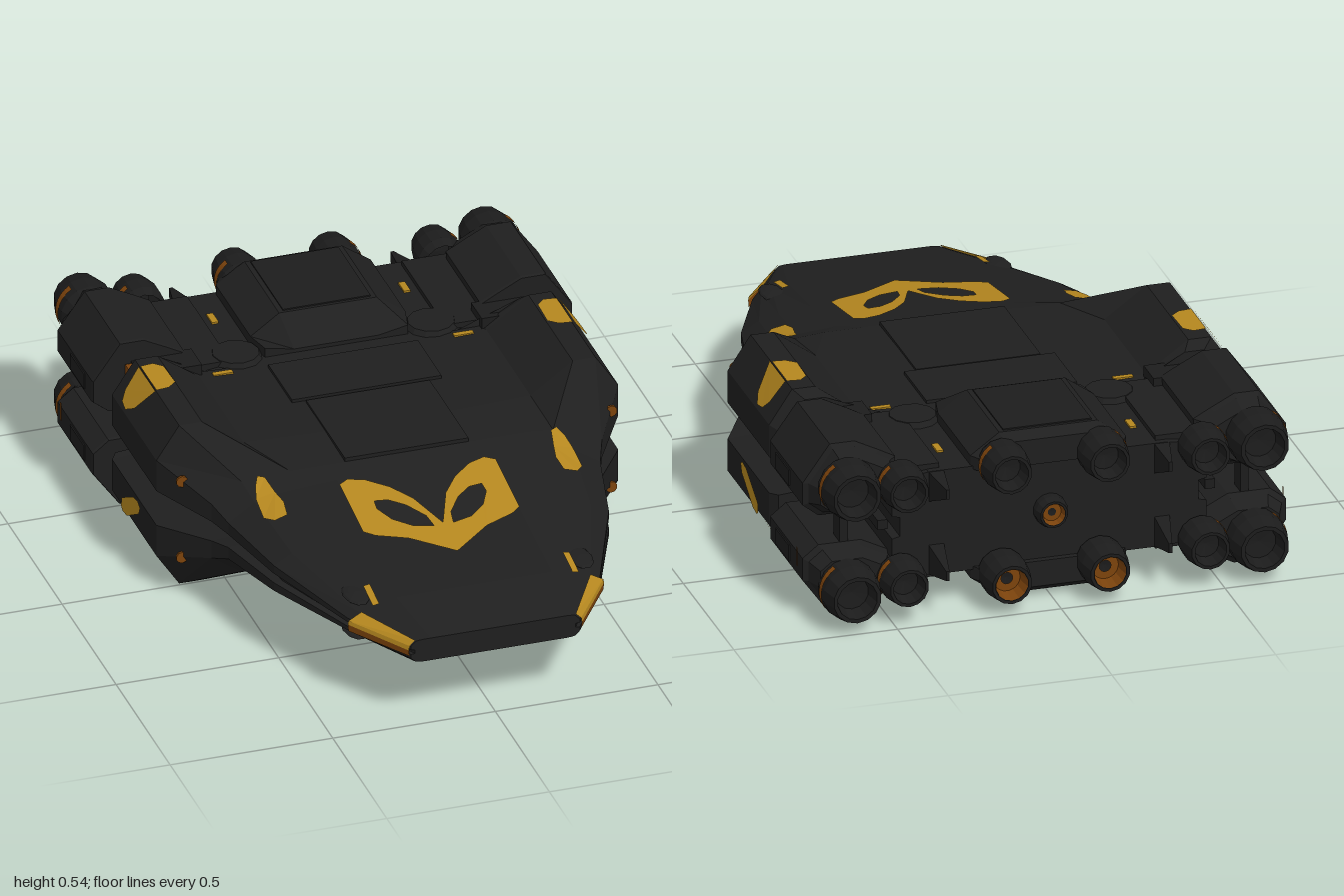
import * as THREE from 'three';

const mat = (name, color, extra = {}) => Object.assign(new THREE.MeshStandardMaterial({ color, flatShading: true, ...extra }), { name });

// Hull section from its deck height, shoulder foot, two shoulder peaks and outer edge (heights from mid-plane)
function section(z, deck, foot, peakA, peakB, edge) {
  const [ex, eh] = edge, nx = Math.min(.51, ex * .95), nh = Math.min(.04, eh * .3);
  const centre = .265 - .05 * Math.max(0, z - .5);
  const lip = [(ex + nx) / 2, (eh * .36 + nh) / 2];
  return [z, centre, [[0, deck], [Math.min(.24, foot[0] - .02), deck], foot, peakA, peakB, edge, [ex, eh * .36], lip, [nx, nh]]];
}
const shoulder = z => section(z, .165, [.44, .172], [.57, .265], [.64, .265], [.71, .16]);
const core = z => section(z, .165, [.36, .165], [.4, .16], [.43, .15], [.48, .1]);
const HULL = [
  section(1, .037, [.22, .037], [.235, .036], [.245, .034], [.26, .02]),
  section(.8, .064, [.28, .06], [.33, .05], [.36, .04], [.388, .02]),
  section(.5, .1, [.3, .097], [.4, .088], [.46, .074], [.515, .042]),
  section(.25, .146, [.3, .142], [.42, .132], [.49, .115], [.572, .06]),
  section(.18, .16, [.36, .16], [.45, .152], [.51, .152], [.6, .09]),
  shoulder(0), shoulder(-.41),
  section(-.44, .165, [.43, .17], [.55, .24], [.61, .24], [.69, .15]),
  core(-.445), core(-.88),
];

// Upper hull height at x, z
function surf(x, z) {
  x = Math.abs(x);
  let s = 0;
  while (s < HULL.length - 2 && HULL[s + 1][0] > z) s++;
  const [za, ya, pa] = HULL[s], [zb, yb, pb] = HULL[s + 1];
  const t = (za - z) / (za - zb), mix = (a, b) => a + (b - a) * t;
  const p = pa.map((a, i) => [mix(a[0], pb[i][0]), mix(a[1], pb[i][1])]);
  let i = 0;
  while (i < 4 && p[i + 1][0] < x) i++;
  const k = Math.min(1, (x - p[i][0]) / (p[i + 1][0] - p[i][0]));
  return mix(ya, yb) + p[i][1] + (p[i + 1][1] - p[i][1]) * k;
}

// Skin closed rings [z, points], clockwise seen from the front, front to back; sx and sy mirror them
function loft(sections, sx = 1, sy = 1) {
  const rings = sections.map(([z, pts]) => {
    const r = pts.map(([x, y]) => [x * sx, sy > 0 ? y : .53 - y, z]);
    return sx * sy < 0 ? r.reverse() : r;
  });
  const n = rings[0].length, idx = [], last = (rings.length - 1) * n;
  for (let s = 0; s < rings.length - 1; s++) for (let j = 0; j < n; j++) {
    const a = s * n + j, b = s * n + (j + 1) % n;
    idx.push(a, b, a + n, b, b + n, a + n);
  }
  const cap = (ring, off, flip) => {
    const ccw = ring.map(p => new THREE.Vector2(p[0], p[1])).reverse();
    for (const f of THREE.ShapeUtils.triangulateShape(ccw, [])) {
      const [a, b, c] = f.map(i => off + n - 1 - i);
      idx.push(a, flip ? c : b, flip ? b : c);
    }
  };
  cap(rings[0], 0, false);
  cap(rings[rings.length - 1], last, true);
  const g = new THREE.BufferGeometry();
  g.setAttribute('position', new THREE.Float32BufferAttribute(rings.flat(2), 3));
  g.setIndex(idx);
  const flat = g.toNonIndexed();
  flat.computeVertexNormals();
  return flat;
}

export function createModel() {
  const root = new THREE.Group();
  root.name = 'spacecraft';
  const hullGrey = mat('hull charcoal', 0x1f1f1f);
  const panelGrey = mat('panel charcoal', 0x1c1c1c, { side: THREE.DoubleSide });
  const yellow = mat('yellow paint', 0xb5871f, { side: THREE.DoubleSide });
  const rust = mat('rust orange', 0x7c430c, { side: THREE.DoubleSide });
  const add = (name, geo, m, x = 0, y = 0, z = 0) => {
    const mesh = new THREE.Mesh(geo, m);
    mesh.name = name;
    mesh.position.set(x, y, z);
    root.add(mesh);
    return mesh;
  };
  // Flat painted polygon on both sides of the craft
  const patch = (name, pts, m) => [1, -1].forEach(s => {
    const g = new THREE.BufferGeometry(), tri = [];
    for (let i = 1; i < pts.length - 1; i++) tri.push(pts[0], pts[i], pts[i + 1]);
    g.setAttribute('position', new THREE.Float32BufferAttribute(tri.flatMap(([x, y, z]) => [x * s, y, z]), 3));
    g.computeVertexNormals();
    add(name, g, m);
  });
  const onTop = (name, pts, m, lift = .005) => patch(name, pts.map(([x, z]) => [x, surf(x, z) + lift, z]), m);

  // Main hull with upper and lower shoulders
  const mirrored = pts => pts.slice(1).map(([x, y]) => [-x, y]);
  add('hull', loft(HULL.map(([z, c, q]) => {
    const up = q.map(([x, h]) => [x, c + h]), down = q.map(([x, h]) => [x, c - h]);
    return [z, [...up, ...down.toReversed(), ...mirrored(down), ...mirrored(up).reverse()]];
  })), hullGrey);

  // Engine bell pointing back, with optional rust liner or outer band
  const bell = (name, x, y, r, z, len, liner, band) => {
    const prof = [[.8, 0], [1, .2], [1, .6], [.84, 1], [.7, 1], [.58, .6], [0, .55]];
    const g = new THREE.LatheGeometry(prof.map(([a, b]) => new THREE.Vector2(a * r, b * len)), 14);
    add(name, g.rotateX(-Math.PI / 2), panelGrey, x, y, z);
    if (liner) {
      add(name + 'Liner', new THREE.RingGeometry(r * .25, r * .57, 14).rotateY(Math.PI), rust, x, y, z - len * .62);
      add(name + 'LinerWall', new THREE.CylinderGeometry(r * .57, r * .68, len * .4, 14, 1, true).rotateX(Math.PI / 2), rust, x, y, z - len * .8);
    }
    if (band) {
      const arc = new THREE.CylinderGeometry(r * 1.03, r * 1.03, .024, 8, 1, true, 0, 1.6).rotateX(Math.PI / 2);
      add(name + 'Band', arc, rust, x, y, z - len * .42).rotation.z = x > 0 ? 1 : 3.7;
    }
  };

  const nacelle = [[.58, .535], [.655, .535], [.738, .42], [.738, .35], [.69, .312], [.56, .312], [.465, .36], [.455, .47], [.505, .497]];
  const shrink = k => nacelle.map(([x, y]) => [.605 + (x - .605) * k, .425 + (y - .425) * k]);
  const housing = (w, t, h) => [[-t, h], [t, h], [w, .46], [w, .42], [-w, .42], [-w, .46]];
  for (const sy of [1, -1]) {
    const Y = y => sy > 0 ? y : .53 - y, tag = sy > 0 ? 'upper' : 'lower';
    // Central engine housing
    add(tag + 'Housing', loft([[-.47, housing(.22, .13, .442)], [-.55, housing(.238, .15, .523)], [-.87, housing(.238, .15, .523)], [-.9, housing(.22, .14, .5)]], 1, sy), hullGrey);
    add(tag + 'HousingPanel', new THREE.BoxGeometry(.27, .008, .3), panelGrey, 0, Y(.523), -.71);
    // Deck plates
    add(tag + 'DeckPlate', new THREE.BoxGeometry(.46, .02, .22), hullGrey, 0, Y(.43), -.3);
    add(tag + 'ForeDeckPlate', new THREE.BoxGeometry(.38, .014, .36), hullGrey, 0, Y(.43), 0);
    for (const sx of [1, -1]) {
      // Side nacelle
      add(tag + 'Nacelle', loft([[-.505, shrink(.98)], [-.515, nacelle], [-.83, nacelle], [-.84, shrink(.88)], [-.89, shrink(.72)]], sx, sy), hullGrey);
      add(tag + 'NacellePanel', new THREE.BoxGeometry(.008, .05, .13), panelGrey, sx * .738, Y(.385), -.64);
      // Link between shoulder and nacelle
      add(tag + 'Link', new THREE.BoxGeometry(.19, .14, .1), panelGrey, sx * .525, Y(.4), -.47);
      add(tag + 'LinkLight', new THREE.BoxGeometry(.06, .05, .05), rust, sx * .61, Y(.44), -.475);
      // Engines
      bell(tag + 'OuterEngine', sx * .622, Y(.427), .087, -.86, .14, false, true);
      bell(tag + 'InnerEngine', sx * .46, Y(.415), .07, -.86, .13, false, true);
      bell(tag + 'CentreEngine', sx * .15, Y(.44), .072, -.86, .14, sy < 0, sy > 0);
      // Aft deck block, round cover and tail fin
      add(tag + 'AftBlock', new THREE.BoxGeometry(.14, .04, .4), hullGrey, sx * .4, Y(.425), -.66);
      add(tag + 'RoundCover', new THREE.CylinderGeometry(.07, .085, .03, 12).rotateX(sy > 0 ? 0 : Math.PI), hullGrey, sx * .3, Y(.432), -.5);
      add(tag + 'TailFin', loft([[-.87, [[.32, .43], [.37, .43], [.37, .33], [.32, .33]]], [-.98, [[.335, .41], [.345, .41], [.345, .38], [.335, .38]]]], sx, sy), panelGrey);
      // Bow blister
      const deck = surf(.345, .74);
      add(tag + 'Blister', new THREE.SphereGeometry(1, 10, 6).scale(.038, .01, .07), hullGrey, sx * .345, sy > 0 ? deck : .506 - deck, .74);
      // Shoulder front light
      add(tag + 'ShoulderLamp', new THREE.CylinderGeometry(.018, .018, .008, 10).rotateX(Math.PI / 2), rust, sx * .66, Y(.392), .085);
    }
  }
  // Struts joining upper and lower nacelles, side rails, tail thruster and bow slot
  for (const sx of [1, -1]) {
    add('nacelleStrut', new THREE.BoxGeometry(.025, .13, .06), panelGrey, sx * .612, .265, -.8);
    add('sideRail', new THREE.BoxGeometry(.03, .03, .9), panelGrey, sx * .5, .265, -.4);
  }
  bell('tailThruster', 0, .265, .05, -.87, .06, true, false);
  add('bowSlot', new THREE.BoxGeometry(.42, .03, .006), panelGrey, 0, .24, .997);

  // Bow marking: two wings meeting at a point, each with a leaf cut-out, draped on the deck
  const v = pts => pts.map(([x, z]) => new THREE.Vector2(x, -z));
  const wing = [[.018, .47], [.05, .39], [.1, .325], [.16, .278], [.21, .262], [.24, .28], [.24, .5], [.21, .525], [.12, .56]];
  const chevron = new THREE.Shape(v([[0, .515], ...wing, [0, .65], ...wing.map(([x, z]) => [-x, z]).reverse()]));
  const leaf = [[.03, .522], [.038, .475], [.08, .415], [.125, .38], [.165, .375], [.168, .41], [.14, .465], [.09, .507]];
  for (const s of [1, -1]) chevron.holes.push(new THREE.Path(v(leaf.map(([x, z]) => [x * s, z]))));
  const eg = new THREE.ShapeGeometry(chevron).rotateX(-Math.PI / 2), ep = eg.attributes.position;
  for (let i = 0; i < ep.count; i++) ep.setY(i, surf(ep.getX(i), ep.getZ(i)) + .006);
  eg.computeVertexNormals();
  add('bowChevron', eg, yellow);

  // Yellow and rust markings
  onTop('cheekMarkAft', [[.44, .19], [.46, .18], [.475, .21], [.487, .25], [.428, .25]], yellow, .009);
  onTop('cheekMarkFore', [[.428, .25], [.487, .25], [.49, .33], [.465, .36], [.425, .355], [.418, .3]], yellow, .009);
  onTop('shoulderMarkTop', [[.64, -.21], [.64, -.36], [.6, -.365], [.575, -.34], [.572, -.24], [.6, -.215]], yellow);
  patch('shoulderMarkSide', [[.645, .535, -.205], [.695, .462, -.25], [.71, .44, -.29], [.706, .446, -.33], [.69, .47, -.35], [.645, .535, -.36]], yellow);
  patch('lowerStripe', [[.19, -.14], [.202, -.16], [.195, -.2], [.135, -.31], [.105, -.315], [.095, -.3], [.1, -.26], [.165, -.15]].map(([y, z]) => [.714, y, z]), yellow);
  patch('lowerShoulderMark', [[.677, .05, -.26], [.677, .05, -.32], [.656, .02, -.32], [.656, .02, -.26]], rust);
  patch('bowCheek', [[.247, .278, 1], [.264, .262, 1], [.392, .272, .82], [.352, .295, .82]], yellow);
  patch('bowCheekMiddle', [[.264, .262, 1], [.266, .247, 1], [.394, .26, .82], [.392, .272, .82]], yellow);
  patch('bowCheekLower', [[.266, .247, 1], [.264, .228, 1], [.392, .238, .82], [.394, .26, .82]], rust);
  onTop('blisterMark', [[.297, .73], [.317, .73], [.317, .82], [.297, .82]], yellow, .011);
  for (const s of [1, -1]) {
    add('deckDash', new THREE.BoxGeometry(.06, .008, .018), yellow, s * .37, .435, -.41);
    add('aftDash', new THREE.BoxGeometry(.02, .008, .055), yellow, s * .295, .432, -.73);
  }
  patch('nacelleTick', [[.742, .2, -.783], [.742, .2, -.795], [.742, .14, -.795], [.742, .14, -.783]], rust);
  return root;
}
